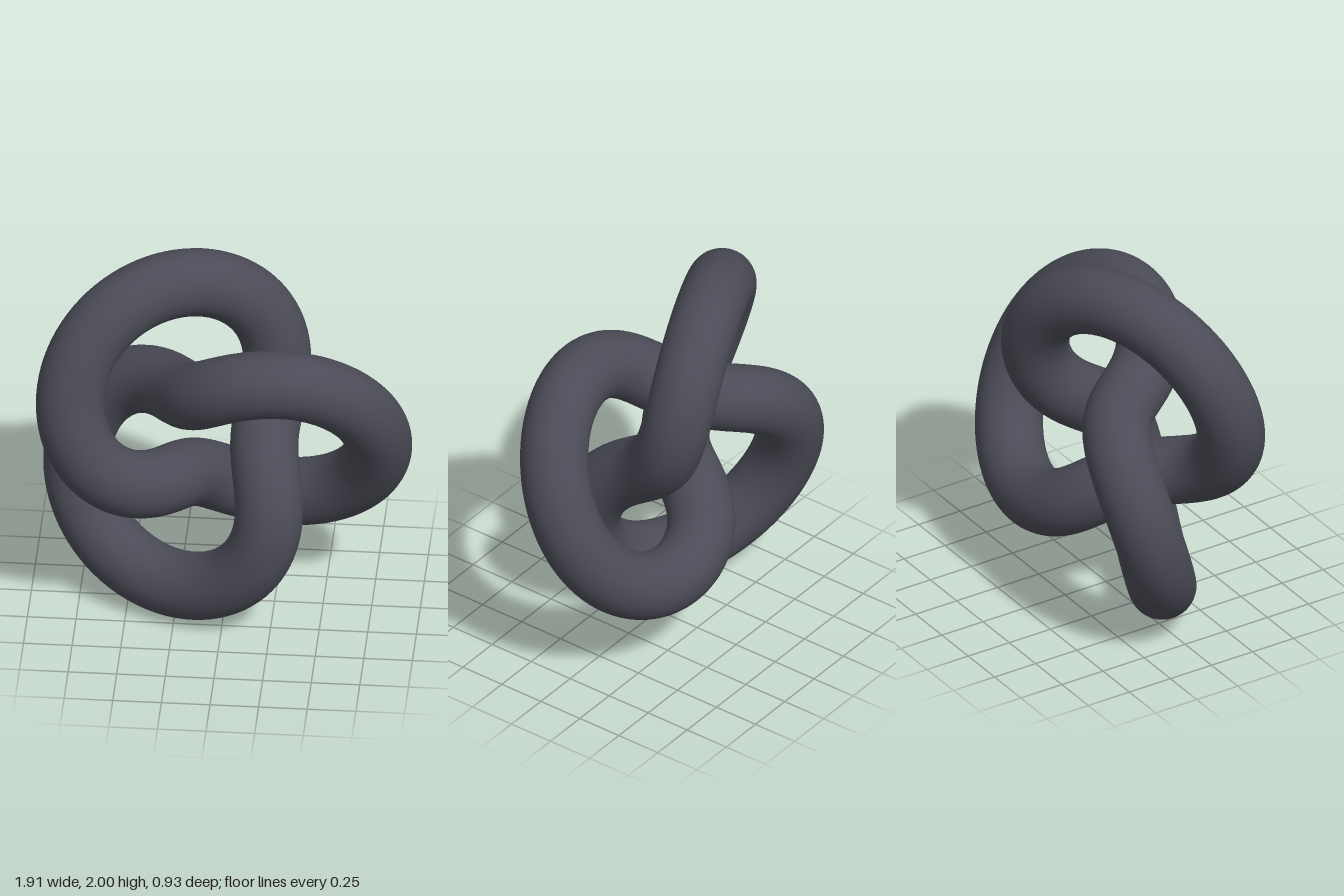
import * as THREE from 'three';

export function createModel() {
  const group = new THREE.Group();
  group.name = 'trefoilKnot';

  // One closed round tube: two turns around the axis, three around the ring
  const radius = 0.5834, tube = 0.175;
  const geometry = new THREE.TorusKnotGeometry(radius, tube, 300, 48, 2, 3);
  const material = new THREE.MeshStandardMaterial({ color: 0x4b4b57 });
  const knot = new THREE.Mesh(geometry, material);
  knot.name = 'knotTube';

  // Centre the bounds on x and z and stand the knot on the ground
  geometry.computeBoundingBox();
  const box = geometry.boundingBox;
  const centre = box.getCenter(new THREE.Vector3());
  knot.position.set(-centre.x, -box.min.y, -centre.z);

  group.add(knot);
  return group;
}
